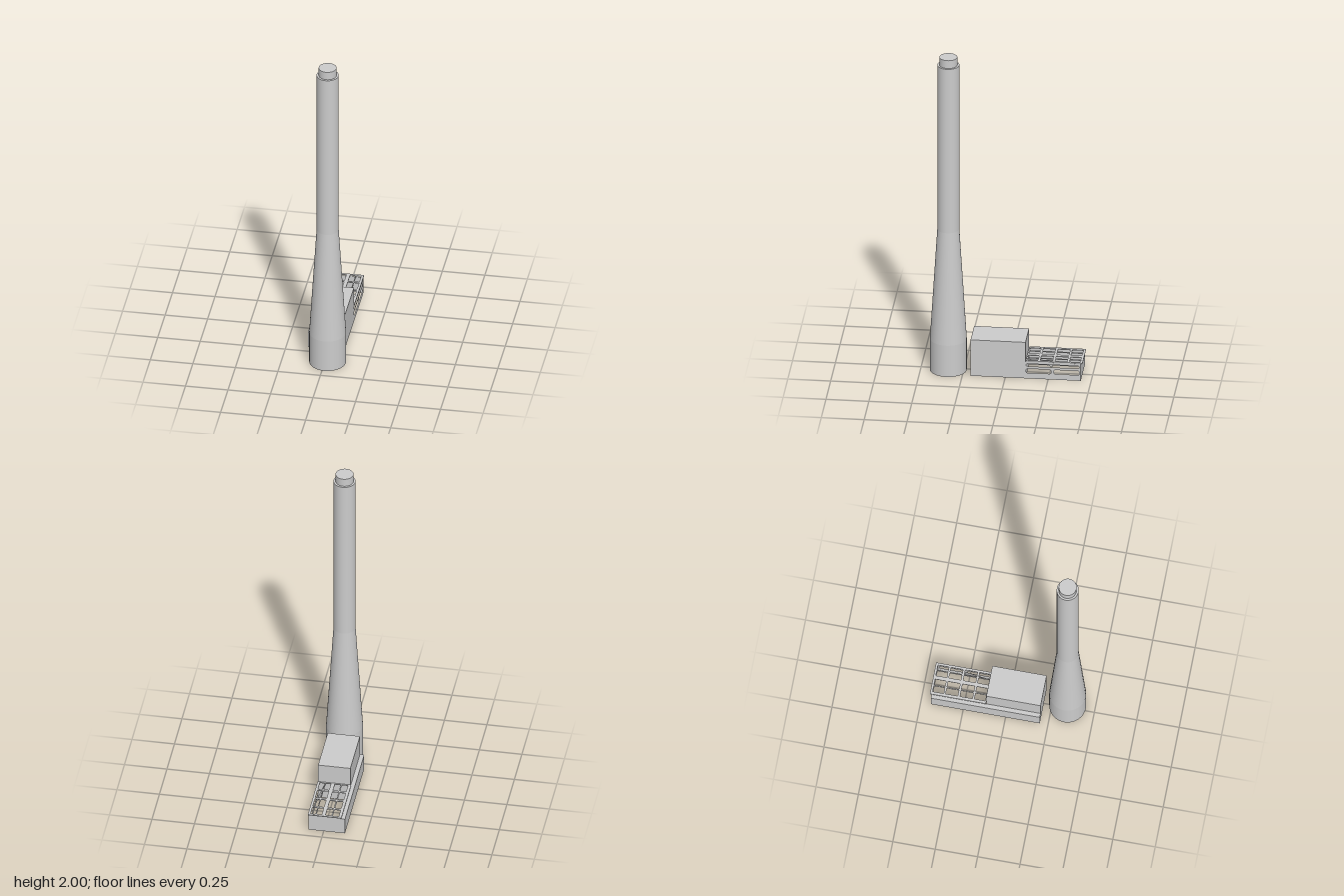
import * as THREE from 'three';

const mat = new THREE.MeshStandardMaterial({ color: 0xcccccc });
const sheet = new THREE.MeshStandardMaterial({ color: 0xcccccc, side: THREE.DoubleSide });

function add(parent, name, geometry, material = mat) {
  const mesh = new THREE.Mesh(geometry, material);
  mesh.name = name;
  parent.add(mesh);
  return mesh;
}

// Rectangle outline with optional rounded corners
function rect(PathType, x0, y0, x1, y1, r = 0) {
  const p = new PathType();
  if (!r) return p.moveTo(x0, y0).lineTo(x1, y0).lineTo(x1, y1).lineTo(x0, y1).closePath();
  p.absarc(x1 - r, y0 + r, r, -Math.PI / 2, 0);
  p.absarc(x1 - r, y1 - r, r, 0, Math.PI / 2);
  p.absarc(x0 + r, y1 - r, r, Math.PI / 2, Math.PI);
  p.absarc(x0 + r, y0 + r, r, Math.PI, Math.PI * 1.5);
  p.closePath();
  return p;
}

// Thin wall from (xa, za) to (xb, zb), standing on the ground
function wall(parent, name, xa, za, xb, zb, height) {
  const length = Math.hypot(xb - xa, zb - za);
  const m = add(parent, name, new THREE.PlaneGeometry(length, height), sheet);
  m.position.set((xa + xb) / 2, height / 2, (za + zb) / 2);
  m.rotation.y = Math.atan2(-(zb - za), xb - xa);
}

// Flat rectangular roof
function flatRoof(parent, name, x0, x1, z0, z1, y) {
  const m = add(parent, name, new THREE.PlaneGeometry(x1 - x0, z1 - z0).rotateX(-Math.PI / 2), sheet);
  m.position.set((x0 + x1) / 2, y, (z0 + z1) / 2);
}

export function createModel() {
  const model = new THREE.Group();
  model.name = 'chimneyAndBuilding';

  // Chimney: straight foot, tapering skirt, tall shaft and narrower flue
  const chimney = new THREE.Group();
  chimney.name = 'chimney';
  chimney.position.set(0.015, 0, 0.34);
  model.add(chimney);
  const sections = [
    ['chimneyFoot', 0.107, 0.107, 0, 0.2],
    ['chimneyTaper', 0.107, 0.064, 0.2, 0.9],
    ['chimneyShaft', 0.064, 0.064, 0.9, 1.95],
    ['chimneyFlue', 0.052, 0.052, 1.95, 2],
  ];
  for (const [name, rBottom, rTop, y0, y1] of sections) {
    const open = name === 'chimneyTaper';
    add(chimney, name, new THREE.CylinderGeometry(rTop, rBottom, y1 - y0, 40, 1, open)).position.y = (y0 + y1) / 2;
  }

  // Tall hall, open underneath
  const hall = new THREE.Group();
  hall.name = 'hall';
  model.add(hall);
  const L = 0.09, R = -0.1, front = 0.202, mid = -0.118, back = -0.44;
  wall(hall, 'hallFront', R, front, L, front, 0.23);
  wall(hall, 'hallBack', L, mid, R, mid, 0.23);
  wall(hall, 'hallLeft', L, front, L, mid, 0.23);
  wall(hall, 'hallRight', R, mid, R, front, 0.23);
  flatRoof(hall, 'hallRoof', R, L, mid, front, 0.23);

  // Low side aisle along the whole right side
  const aisle = new THREE.Group();
  aisle.name = 'aisle';
  model.add(aisle);
  const outer = -0.125;
  wall(aisle, 'aisleOuterWall', outer, back, outer, front, 0.1);
  wall(aisle, 'aisleFront', outer, front, R, front, 0.1);
  wall(aisle, 'aisleBack', R, back, outer, back, 0.1);
  flatRoof(aisle, 'aisleRoof', outer, R, back, front, 0.1);

  // Low rear wing with a slotted left wall
  const wing = new THREE.Group();
  wing.name = 'rearWing';
  model.add(wing);
  wall(wing, 'wingBack', L, back, R, back, 0.105);
  wall(wing, 'wingRight', R, back, R, mid, 0.105);
  const side = rect(THREE.Shape, -mid, 0, -back, 0.108);
  side.holes.push(
    rect(THREE.Path, 0.122, 0.078, 0.431, 0.094, 0.006),
    rect(THREE.Path, 0.122, 0.036, 0.266, 0.062, 0.007),
    rect(THREE.Path, 0.285, 0.036, 0.431, 0.062, 0.007),
  );
  add(wing, 'wingSlottedWall', new THREE.ShapeGeometry(side, 6).rotateY(Math.PI / 2), sheet).position.x = L;

  // Skylight frame over the wing: four by four panes
  const frame = rect(THREE.Shape, -0.105, 0.12, 0.092, 0.45);
  const columns = [[-0.088, -0.052], [-0.045, -0.01], [0.012, 0.043], [0.049, 0.078]];
  const rows = [[0.127, 0.19], [0.203, 0.275], [0.289, 0.36], [0.372, 0.437]];
  for (const [x0, x1] of columns)
    for (const [z0, z1] of rows) frame.holes.push(rect(THREE.Path, x0, z0, x1, z1));
  const roof = new THREE.ExtrudeGeometry(frame, { depth: 0.005, bevelEnabled: false }).rotateX(-Math.PI / 2);
  add(wing, 'skylightFrame', roof).position.y = 0.109;

  // Tilted triangular panel under the frame
  const panel = new THREE.BufferGeometry().setFromPoints([
    new THREE.Vector3(0.05, 0.105, -0.275),
    new THREE.Vector3(0.05, 0.105, -0.127),
    new THREE.Vector3(0.08, 0.075, -0.275),
  ]);
  panel.computeVertexNormals();
  add(wing, 'tiltedPanel', panel, sheet);

  return model;
}
